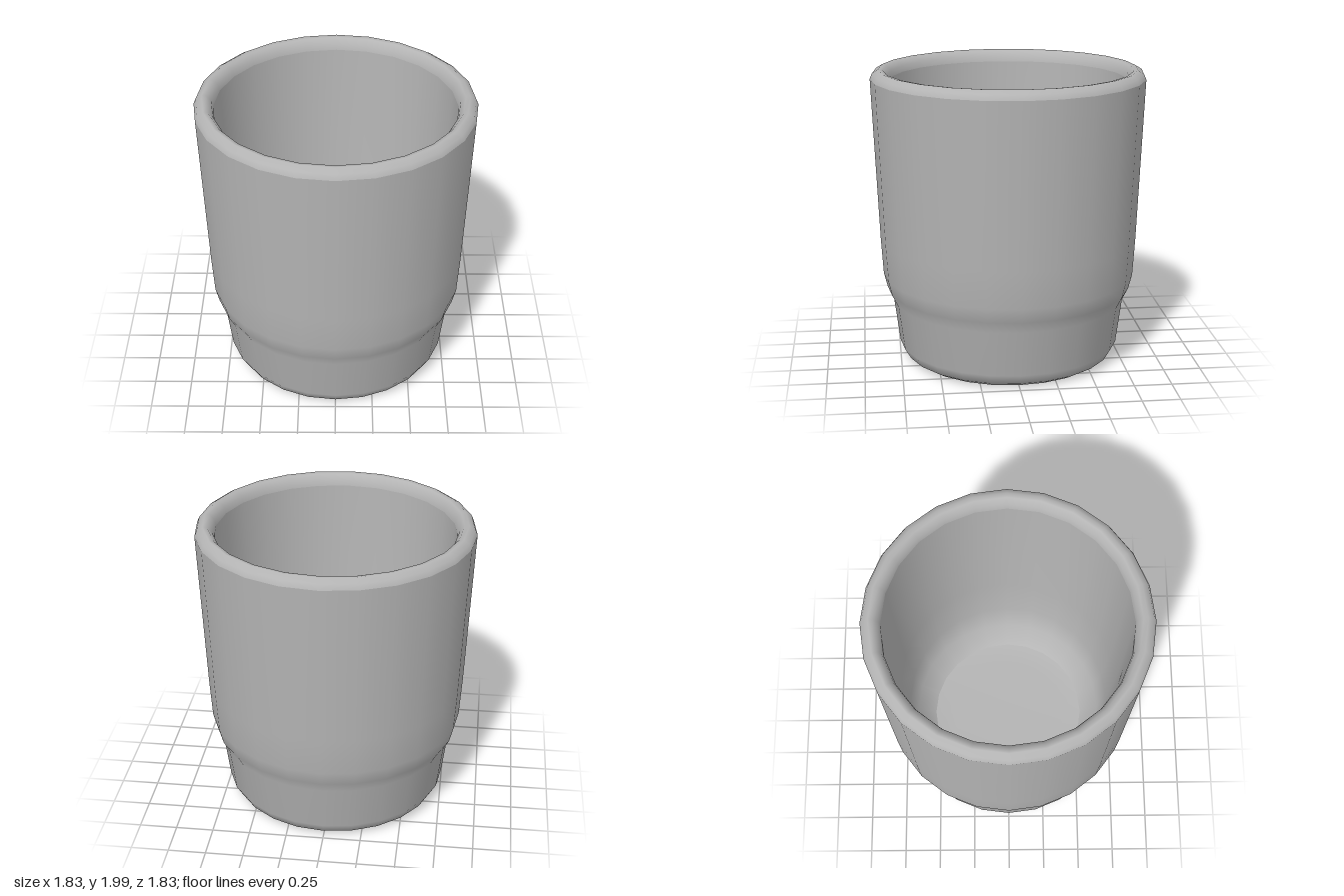
import * as THREE from 'three';

export function createModel() {
  const model = new THREE.Group();
  model.name = 'cup';
  const grey = new THREE.MeshStandardMaterial({ color: 0xb4b4b4 });
  grey.name = 'plain grey';

  // Each part is a turned profile of [radius, height] points
  const turn = (name, profile) => {
    const points = profile.map(([r, y]) => new THREE.Vector2(r, y));
    const mesh = new THREE.Mesh(new THREE.LatheGeometry(points, 24), grey);
    mesh.name = name;
    model.add(mesh);
  };

  // Recessed underside with its foot ring
  turn('underside', [[0, 0.08], [0.44, 0.08], [0.53, 0.03], [0.59, 0.01], [0.66, 0.01]]);

  // Narrow base, stepped shoulder and tapering outer wall
  turn('outerWall', [
    [0.66, 0.01], [0.71, 0.04], [0.75, 0.11], [0.79, 0.42],
    [0.83, 0.5], [0.855, 0.6], [0.87, 0.85], [0.915, 1.94],
  ]);

  // Rounded lip
  turn('rim', [[0.915, 1.94], [0.9, 1.975], [0.86, 2], [0.83, 1.995], [0.8, 1.96], [0.79, 1.92]]);

  // Hollow inside with a rounded floor
  turn('innerWall', [[0.79, 1.92], [0.74, 0.85], [0.7, 0.5], [0.65, 0.3], [0.53, 0.2]]);
  turn('innerFloor', [[0.53, 0.2], [0.4, 0.18], [0, 0.18]]);

  return model;
}
